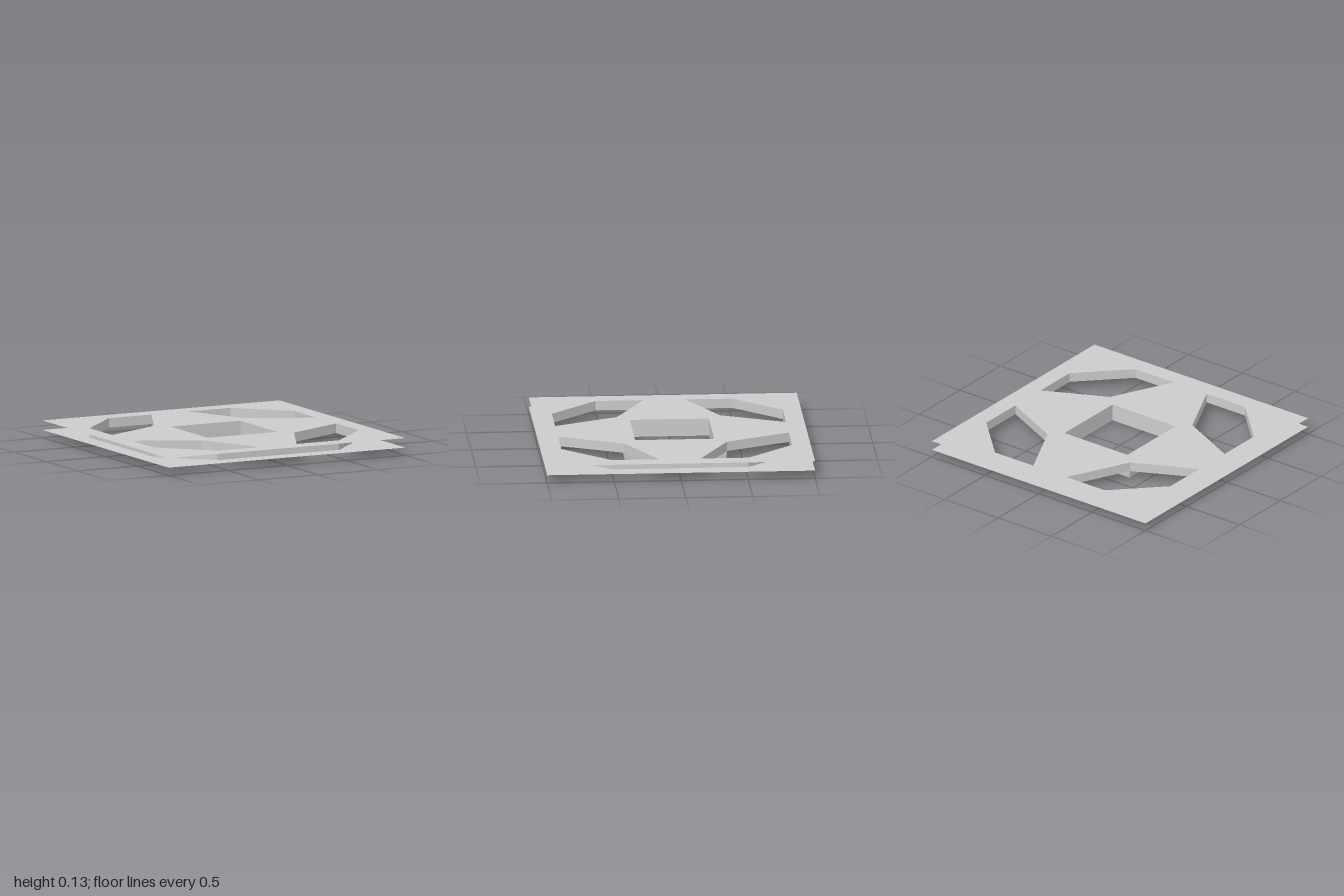
import * as THREE from 'three';

const TOP = 0.131, MID = 0.059, BASE = 0;
const RIM = 0.862, CHAMFER = 0.513, ARM = 0.155, WAIST = 0.385, HOLE = 0.295;

const square = (s) => [[s, s], [-s, s], [-s, -s], [s, -s]];
// Repeats a run of points around the four quarters
const quarters = (run) => [0, 1, 2, 3].flatMap((k) => run.map(([x, z]) => {
  for (let i = 0; i < k; i++) [x, z] = [-z, x];
  return [x, z];
}));
const toVectors = (pts) => pts.map(([x, z]) => new THREE.Vector2(x, z));

export function createModel() {
  const group = new THREE.Group();
  const grey = new THREE.MeshStandardMaterial({ color: 0xcccccc, side: THREE.DoubleSide });
  grey.name = 'light grey';

  const add = (name, geometry) => {
    const mesh = new THREE.Mesh(geometry, grey);
    mesh.name = name;
    group.add(mesh);
  };

  // Flat horizontal sheet with a hole
  const sheet = (name, outline, hole, y, faceUp) => {
    const shape = new THREE.Shape(toVectors(outline));
    shape.holes.push(new THREE.Path(toVectors(hole)));
    const g = new THREE.ShapeGeometry(shape);
    g.rotateX(faceUp ? -Math.PI / 2 : Math.PI / 2);
    g.translate(0, y, 0);
    add(name, g);
  };

  // Upright strip along a path; the lower edge may be drawn in by a scale
  const wall = (name, path, y0, y1, closed, lowerScale = 1) => {
    const pos = [];
    const count = closed ? path.length : path.length - 1;
    for (let i = 0; i < count; i++) {
      const [ax, az] = path[i], [bx, bz] = path[(i + 1) % path.length], s = lowerScale;
      const a = [ax * s, y0, az * s], b = [bx * s, y0, bz * s];
      const c = [bx, y1, bz], d = [ax, y1, az];
      pos.push(...a, ...c, ...b, ...a, ...d, ...c);
    }
    const g = new THREE.BufferGeometry();
    g.setAttribute('position', new THREE.Float32BufferAttribute(pos, 3));
    g.computeVertexNormals();
    add(name, g);
  };

  const octagon = quarters([[RIM, CHAMFER], [CHAMFER, RIM]].map(([x, z]) => [x, z]));
  const cross = quarters([[RIM, ARM], [WAIST, WAIST], [ARM, RIM]]);

  // Open-edged square frame and the four-armed cross, top and underside
  for (const [label, y, up] of [['Top', TOP, true], ['Underside', MID, false]]) {
    sheet('frame' + label, square(1), octagon, y, up);
    sheet('cross' + label, cross, square(HOLE), y, up);
  }
  wall('frameInnerWall', octagon.slice().reverse(), MID, TOP, true);

  // Sides of the cross facing the four corner openings
  const side = [[RIM, ARM], [WAIST, WAIST], [ARM, RIM]];
  for (let k = 0; k < 4; k++) {
    wall('crossSide', quarters(side).slice(k * 3, k * 3 + 3), MID, TOP, false);
  }

  // Square collar below, with the through opening
  wall('collarOuterWall', square(WAIST), BASE, MID, true, 0.985);
  sheet('collarUnderside', square(WAIST * 0.985), square(HOLE), BASE, false);
  wall('openingWall', square(HOLE).reverse(), BASE, TOP, true);

  return group;
}
